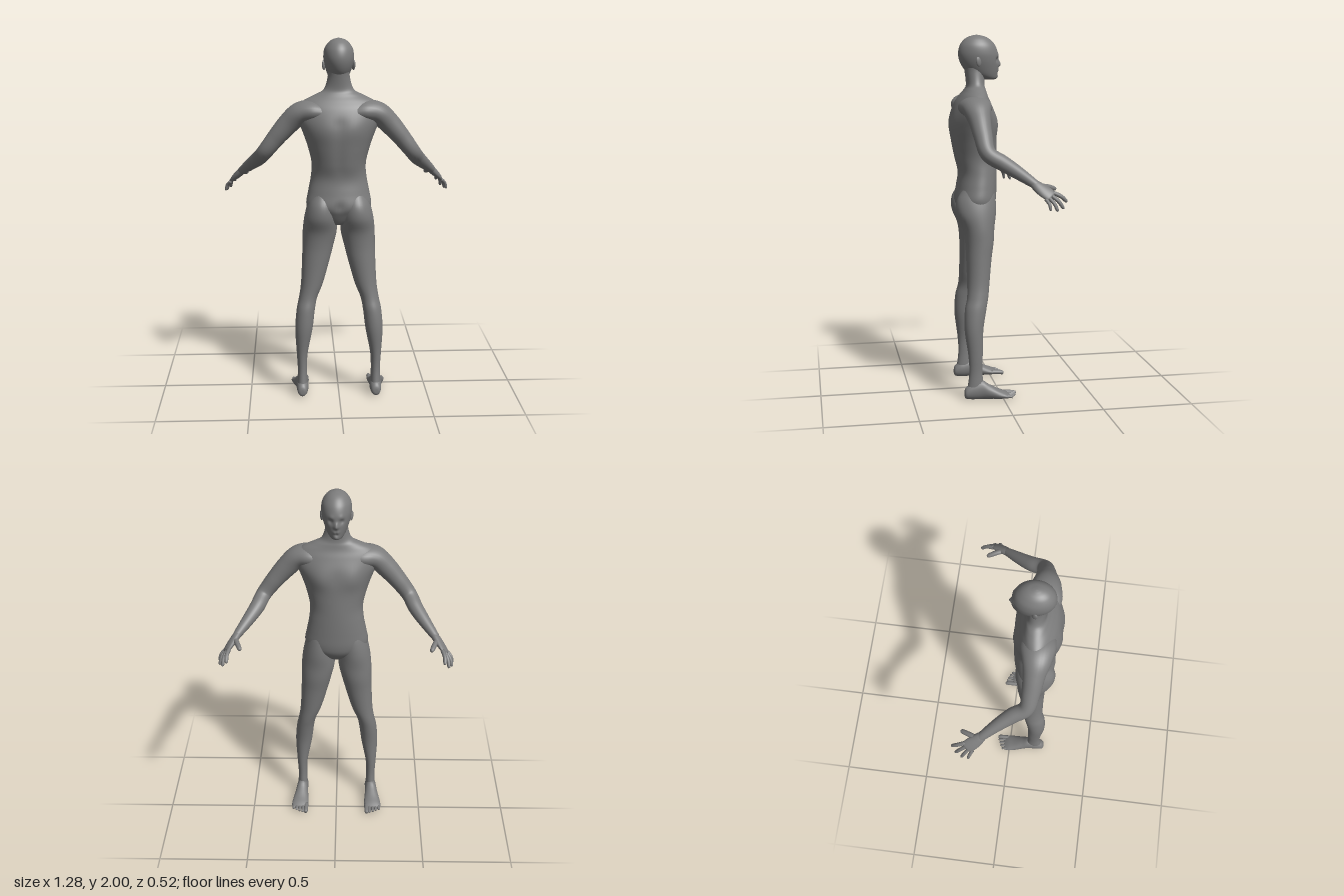
import * as THREE from 'three';

const material = new THREE.MeshStandardMaterial({ color: 0x7c7c7c });

// Catmull-Rom value of every column of a table of rows, t in 0..1
function sample(rows, t) {
  const f = t * (rows.length - 1);
  const i = Math.min(Math.floor(f), rows.length - 2);
  const u = f - i;
  const at = (k) => rows[Math.max(0, Math.min(rows.length - 1, k))];
  return rows[0].map((_, c) => {
    const [a, b, d, e] = [at(i - 1)[c], at(i)[c], at(i + 1)[c], at(i + 2)[c]];
    return b + 0.5 * u * (d - a + u * (2 * a - 5 * b + 4 * d - e + u * (3 * (b - d) + e - a)));
  });
}

// Closed skin over elliptical rings; ring(t) gives centre and two half axes
function loft(ring, steps, sides) {
  const pos = [], index = [];
  for (let i = 0; i <= steps; i++) {
    const { c, a, b } = ring(i / steps);
    for (let j = 0; j < sides; j++) {
      const w = (j / sides) * Math.PI * 2;
      pos.push(...c.clone().addScaledVector(a, Math.cos(w)).addScaledVector(b, Math.sin(w)).toArray());
    }
  }
  for (let i = 0; i < steps; i++) {
    for (let j = 0; j < sides; j++) {
      const k = (j + 1) % sides, p = i * sides, q = p + sides;
      index.push(p + j, q + j, p + k, p + k, q + j, q + k);
    }
  }
  const first = pos.length / 3, last = steps * sides;
  pos.push(...ring(0).c.toArray(), ...ring(1).c.toArray());
  for (let j = 0; j < sides; j++) {
    const k = (j + 1) % sides;
    index.push(first, j, k, first + 1, last + k, last + j);
  }
  const geo = new THREE.BufferGeometry();
  geo.setAttribute('position', new THREE.Float32BufferAttribute(pos, 3));
  geo.setIndex(index);
  geo.computeVertexNormals();
  return geo;
}

const V = (x, y, z) => new THREE.Vector3(x, y, z);

// Upright form, rows from bottom to top: [y, centre x, half width, front z, back z]
const upright = (rows, steps, sides) => loft((t) => {
  const [y, x, r, zf, zb] = sample(rows, t);
  return { c: V(x, y, (zf + zb) / 2), a: V(r, 0, 0), b: V(0, 0, (zb - zf) / 2) };
}, steps, sides);

// Lying form, rows from heel to toe: [z, centre x, half width, bottom y, top y]
const lying = (rows) => loft((t) => {
  const [z, x, r, y0, y1] = sample(rows, t);
  return { c: V(x, (y0 + y1) / 2, z), a: V(r, 0, 0), b: V(0, (y1 - y0) / 2, 0) };
}, 28, 24);

// Limb along a path: [x, y, z, half width along ref, half thickness]
const limb = (rows, ref, steps, sides) => loft((t) => {
  const [x, y, z, w, h] = sample(rows, t);
  const p = sample(rows, Math.max(0, t - 0.01)), q = sample(rows, Math.min(1, t + 0.01));
  const dir = V(q[0] - p[0], q[1] - p[1], q[2] - p[2]).normalize();
  const a = ref.clone().addScaledVector(dir, -ref.dot(dir)).normalize();
  const b = a.clone().cross(dir);
  return { c: V(x, y, z), a: a.multiplyScalar(w), b: b.multiplyScalar(h) };
}, steps, sides);

// Finger or toe with a rounded tip, through three points
function digit(a, b, c, r, ref) {
  const end = b.clone().lerp(c, 0.8);
  const rows = [[a, r], [b, r * 0.95], [end, r * 0.8], [c, r * 0.25]];
  return limb(rows.map(([p, s]) => [p.x, p.y, p.z, s, s]), ref, 12, 10);
}

// Soft bumps pushed along z, mirrored in x: [x, y, z, radius, push]
function sculpt(geo, bumps) {
  const p = geo.attributes.position;
  for (let i = 0; i < p.count; i++) {
    const v = V(Math.abs(p.getX(i)), p.getY(i), p.getZ(i));
    let dz = 0;
    for (const [x, y, z, r, push] of bumps) {
      dz += push * Math.exp(-v.distanceToSquared(V(x, y, z)) / (r * r));
    }
    p.setZ(i, v.z + dz);
  }
  geo.computeVertexNormals();
  return geo;
}

// Copy of a geometry on the other side, with its corner order kept outward
function mirrored(geo) {
  const g = geo.clone().scale(-1, 1, 1);
  const ix = g.index.array;
  for (let i = 0; i < ix.length; i += 3) [ix[i], ix[i + 1]] = [ix[i + 1], ix[i]];
  g.computeVertexNormals();
  return g;
}

export function createModel() {
  const group = new THREE.Group();
  const add = (name, geo) => {
    const mesh = new THREE.Mesh(geo, material);
    mesh.name = name;
    group.add(mesh);
  };
  const pair = (name, geo) => {
    add(name + 'Left', geo);
    add(name + 'Right', mirrored(geo));
  };

  // Torso and neck, with chest, shoulder blades and a spine groove
  const spine = [1.3, 1.35, 1.4, 1.45, 1.5, 1.55].map((y) => [0, y, 0.245, 0.035, -0.005]);
  add('torso', sculpt(upright([
    [0.985, 0, 0.02, 0.1, 0.15], [1.0, 0, 0.06, 0.06, 0.185], [1.05, 0, 0.15, 0.02, 0.215],
    [1.1, 0, 0.178, 0.006, 0.236], [1.17, 0, 0.168, 0.002, 0.225], [1.25, 0, 0.153, 0, 0.215],
    [1.33, 0, 0.148, 0, 0.235], [1.42, 0, 0.168, 0.002, 0.252], [1.5, 0, 0.195, 0.004, 0.26],
    [1.57, 0, 0.222, 0.014, 0.25], [1.63, 0, 0.226, 0.035, 0.229], [1.67, 0, 0.19, 0.052, 0.203],
    [1.7, 0, 0.13, 0.06, 0.18], [1.73, 0, 0.08, 0.066, 0.167], [1.8, 0, 0.059, 0.065, 0.174],
    [1.86, 0, 0.06, 0.07, 0.185],
  ], 80, 64), [
    ...spine, [0.09, 1.52, 0.02, 0.06, -0.012], [0.08, 1.53, 0.24, 0.06, 0.006], [0, 1.1, 0.236, 0.025, -0.01],
  ]));

  // Head, with nose, brow, eye sockets, lips and chin
  add('head', sculpt(upright([
    [1.757, 0, 0.018, 0.012, 0.06], [1.765, 0, 0.034, 0, 0.095], [1.785, 0, 0.05, -0.005, 0.145],
    [1.82, 0, 0.065, -0.01, 0.182], [1.86, 0, 0.077, -0.012, 0.203], [1.9, 0, 0.082, -0.01, 0.21],
    [1.94, 0, 0.077, 0.004, 0.202], [1.97, 0, 0.06, 0.028, 0.182], [1.988, 0, 0.04, 0.055, 0.157],
    [1.997, 0, 0.018, 0.085, 0.13], [2.0, 0, 0.003, 0.103, 0.112],
  ], 90, 90), [
    [0, 1.838, -0.012, 0.013, -0.014], [0, 1.855, -0.012, 0.011, -0.007], [0.03, 1.865, -0.004, 0.015, 0.01],
    [0.028, 1.889, -0.006, 0.014, -0.004], [0.009, 1.806, -0.008, 0.011, -0.005], [0, 1.792, -0.006, 0.009, 0.004],
    [0, 1.774, -0.003, 0.016, -0.007],
  ]));

  // Ears
  pair('ear', new THREE.SphereGeometry(1, 16, 12).scale(0.008, 0.027, 0.016)
    .rotateX(0.2).rotateY(0.4).translate(0.08, 1.856, 0.11));

  // Legs, tapering up into the hips
  pair('leg', upright([
    [0.04, 0.207, 0.03, 0.11, 0.205], [0.09, 0.207, 0.028, 0.11, 0.195], [0.16, 0.207, 0.026, 0.115, 0.188],
    [0.25, 0.207, 0.031, 0.113, 0.193], [0.39, 0.197, 0.048, 0.108, 0.211], [0.5, 0.186, 0.051, 0.09, 0.208],
    [0.57, 0.172, 0.051, 0.076, 0.193], [0.65, 0.15, 0.061, 0.065, 0.189], [0.78, 0.128, 0.076, 0.05, 0.19],
    [0.87, 0.115, 0.086, 0.036, 0.193], [0.95, 0.105, 0.094, 0.03, 0.206], [1.03, 0.1, 0.09, 0.02, 0.238],
    [1.1, 0.095, 0.078, 0.02, 0.237], [1.16, 0.09, 0.06, 0.03, 0.205], [1.22, 0.085, 0.035, 0.06, 0.17],
  ], 70, 36));

  // Feet and toes
  pair('foot', lying([
    [0.216, 0.208, 0.01, 0.02, 0.045], [0.207, 0.208, 0.025, 0.006, 0.068], [0.17, 0.207, 0.033, 0, 0.095],
    [0.12, 0.21, 0.034, 0, 0.108], [0.08, 0.213, 0.039, 0, 0.084], [0.03, 0.217, 0.047, 0, 0.057],
    [-0.01, 0.219, 0.05, 0.002, 0.04], [-0.035, 0.219, 0.043, 0.006, 0.026],
  ]));
  for (let i = 0; i < 5; i++) {
    const x = 0.183 + i * 0.0185, r = i ? 0.0085 : 0.013, tip = -0.078 + 0.002 * i * i + 0.002 * i;
    pair('toe' + (i + 1), digit(V(x, 0.022, -0.005), V(x, 0.018, tip / 2 - 0.02),
      V(x + 0.002, 0.012, tip), r, V(1, 0, 0)));
  }

  // Arms, from broad shoulders reaching out and forward
  pair('arm', limb([
    [0.06, 1.605, 0.14, 0.08, 0.04], [0.14, 1.615, 0.14, 0.092, 0.058], [0.21, 1.603, 0.141, 0.077, 0.06],
    [0.268, 1.551, 0.136, 0.06, 0.058], [0.335, 1.475, 0.13, 0.05, 0.05], [0.4, 1.392, 0.115, 0.043, 0.043],
    [0.435, 1.345, 0.045, 0.042, 0.041], [0.48, 1.3, -0.025, 0.035, 0.034], [0.535, 1.248, -0.1, 0.025, 0.023],
    [0.555, 1.228, -0.127, 0.02, 0.014],
  ], V(0, 0, 1), 70, 28));

  // Hands: palm, four fingers and a thumb
  const across = V(0.35, -0.35, 0.85);
  pair('palm', limb([
    [0.515, 1.267, -0.073, 0.016, 0.014], [0.538, 1.244, -0.104, 0.027, 0.021], [0.558, 1.223, -0.13, 0.035, 0.02],
    [0.578, 1.203, -0.158, 0.038, 0.016], [0.59, 1.19, -0.178, 0.034, 0.012], [0.594, 1.186, -0.184, 0.022, 0.007],
  ], across, 28, 24));
  const tips = [V(0.585, 1.157, -0.262), V(0.61, 1.125, -0.24), V(0.629, 1.115, -0.205), V(0.634, 1.12, -0.167)];
  tips.forEach((tip, i) => {
    const base = V(0.574, 1.205, -0.188).lerp(V(0.604, 1.176, -0.146), i / 3);
    const middle = base.clone().lerp(tip, 0.5).add(V(0.005, 0.006, -0.004));
    pair('finger' + (i + 1), digit(base, middle, tip, 0.0115 - 0.0007 * i, across));
  });
  pair('thumb', digit(V(0.552, 1.235, -0.12), V(0.533, 1.23, -0.168), V(0.512, 1.214, -0.22), 0.015, V(0, 1, 0)));

  return group;
}
